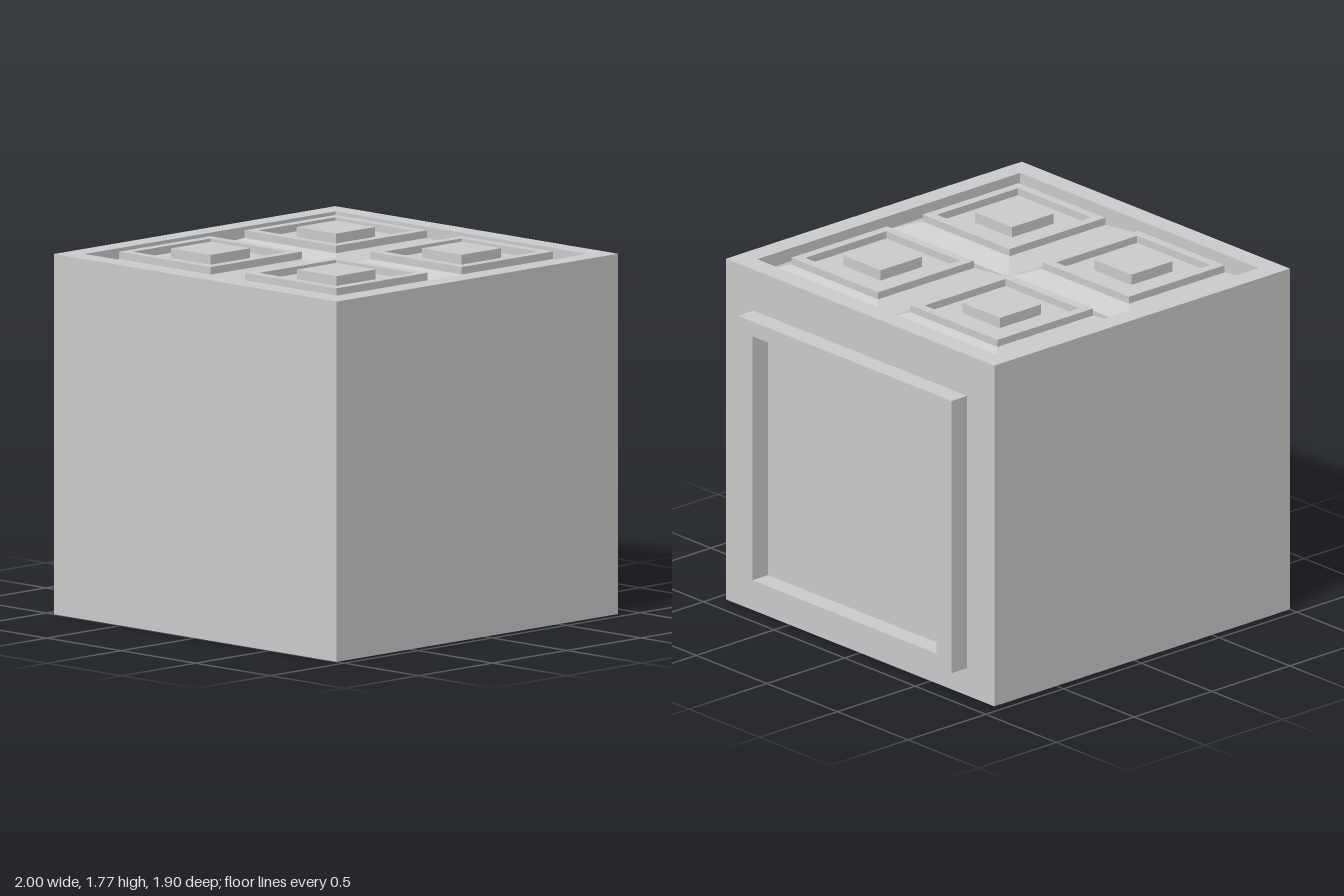
import * as THREE from 'three';

const material = new THREE.MeshStandardMaterial({ color: 0xcccccc, flatShading: true });

function addMesh(parent, name, geometry, x, y, z) {
  const mesh = new THREE.Mesh(geometry, material);
  mesh.name = name;
  mesh.position.set(x, y, z);
  parent.add(mesh);
  return mesh;
}

function rectangle(target, w, h, cx = 0, cy = 0) {
  target.moveTo(cx - w / 2, cy - h / 2);
  target.lineTo(cx + w / 2, cy - h / 2);
  target.lineTo(cx + w / 2, cy + h / 2);
  target.lineTo(cx - w / 2, cy + h / 2);
  target.closePath();
  return target;
}

// Rectangular frame in the xy plane, extruded from z = 0 to z = depth
function frameGeometry(w, h, holeW, holeH, depth, holeY = 0) {
  const shape = rectangle(new THREE.Shape(), w, h);
  shape.holes.push(rectangle(new THREE.Path(), holeW, holeH, 0, holeY));
  return new THREE.ExtrudeGeometry(shape, { depth, bevelEnabled: false });
}

// Four-sided truncated pyramid standing on y = 0
function frustumGeometry(topSize, bottomSize, height) {
  return new THREE.CylinderGeometry(topSize / Math.SQRT2, bottomSize / Math.SQRT2, height, 4)
    .rotateY(Math.PI / 4)
    .translate(0, height / 2, 0);
}

export function createModel() {
  const model = new THREE.Group();
  model.name = 'panelledCube';
  const cx = -0.05; // centre of the cube, offset by the side frame
  const floorY = 1.673, plateauY = 1.715, rimY = 1.74;

  // Main block and the raised rim around its top
  addMesh(model, 'body', new THREE.BoxGeometry(1.9, floorY, 1.9), cx, floorY / 2, 0);
  addMesh(model, 'topRim',
    frameGeometry(1.9, 1.9, 1.69, 1.69, rimY - floorY).rotateX(-Math.PI / 2), cx, floorY, 0);

  // Four top panels: sloped base, square border and centre block
  const base = frustumGeometry(0.615, 0.845, plateauY - floorY);
  const border = frameGeometry(0.615, 0.615, 0.52, 0.52, 0.036).rotateX(-Math.PI / 2);
  const block = new THREE.BoxGeometry(0.265, 0.052, 0.265);
  for (const sx of [-1, 1]) {
    for (const sz of [-1, 1]) {
      const panel = new THREE.Group();
      panel.name = 'topPanel';
      panel.position.set(cx + sx * 0.4225, 0, sz * 0.4225);
      addMesh(panel, 'panelBase', base, 0, floorY, 0);
      addMesh(panel, 'panelBorder', border, 0, plateauY, 0);
      addMesh(panel, 'panelBlock', block, 0, plateauY + 0.026, 0);
      model.add(panel);
    }
  }

  // Raised frame on the side
  addMesh(model, 'sideFrame',
    frameGeometry(1.515, 1.39, 1.305, 1.245, 0.1, -0.0025).rotateY(Math.PI / 2), 0.9, 0.835, 0);

  return model;
}
